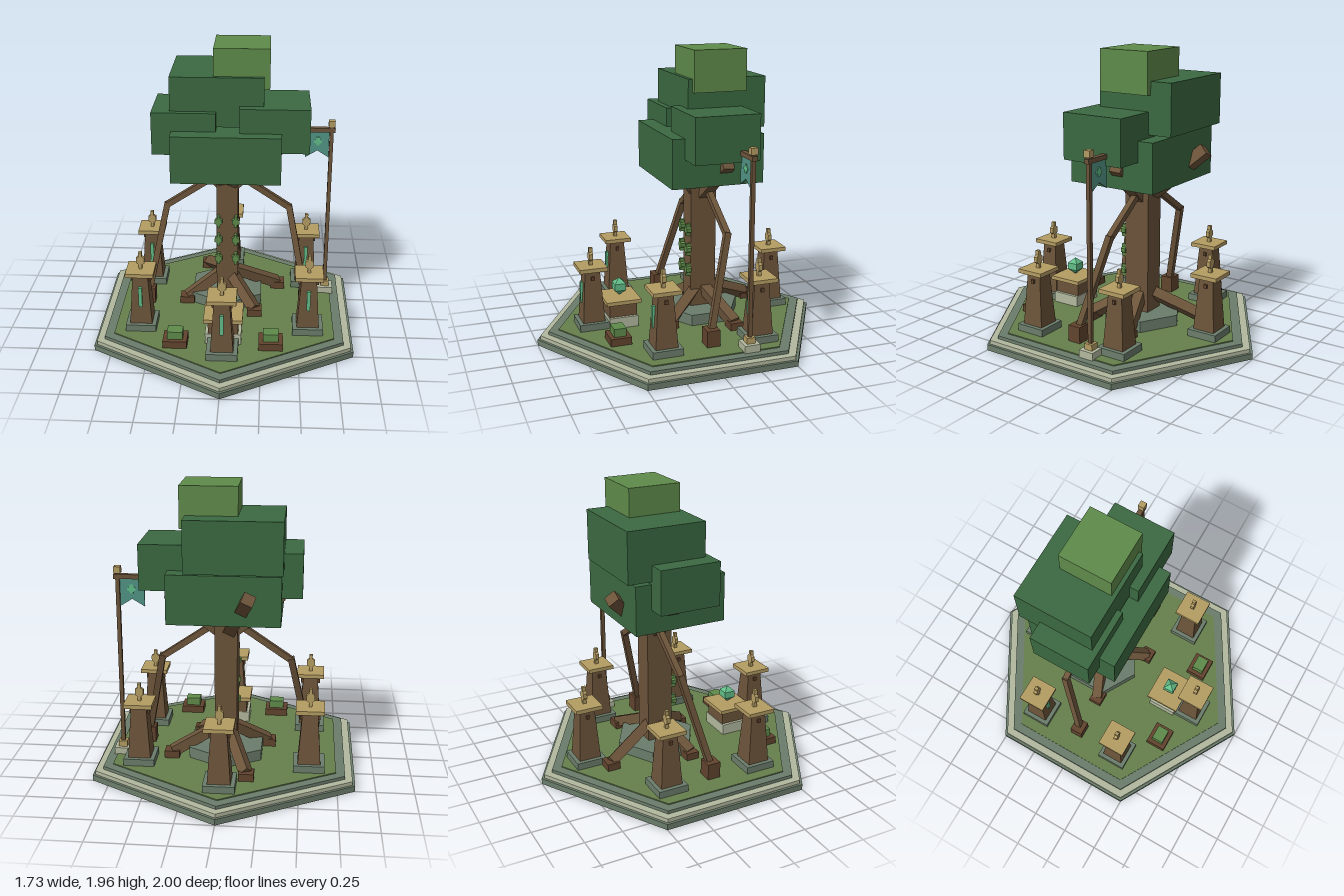
import * as THREE from 'three';

const mat = (name, color) => {
  const m = new THREE.MeshStandardMaterial({ color });
  m.name = name;
  return m;
};

export function createModel() {
  const root = new THREE.Group();
  root.name = 'treeShrine';

  const stone = mat('stone', 0x6b7d6b);
  const paleStone = mat('paleStone', 0xb3b99f);
  const grass = mat('grass', 0x667f4c);
  const bark = mat('bark', 0x6c543a);
  const darkWood = mat('darkWood', 0x62442e);
  const gold = mat('gold', 0xb59d63);
  const leaf = mat('leaf', 0x3b6941);
  const lightLeaf = mat('lightLeaf', 0x5f8b4a);
  const cloth = mat('cloth', 0x529585);
  const glow = mat('glow', 0x62be88);

  // Faceted mesh
  const add = (parent, name, geo, material, x = 0, y = 0, z = 0) => {
    const g = geo.index ? geo.toNonIndexed() : geo;
    g.computeVertexNormals();
    const m = new THREE.Mesh(g, material);
    m.name = name;
    m.position.set(x, y, z);
    parent.add(m);
    return m;
  };
  // Box centred on x and z, spanning y0 to y1
  const box = (parent, name, material, x, y0, y1, z, w, d) =>
    add(parent, name, new THREE.BoxGeometry(w, y1 - y0, d), material, x, (y0 + y1) / 2, z);
  // Square beam between two points
  const beam = (parent, name, material, a, b, w, d = w) => {
    const p = new THREE.Vector3(...a), q = new THREE.Vector3(...b);
    const dir = q.clone().sub(p);
    const mid = p.clone().add(q).multiplyScalar(0.5);
    const m = add(parent, name, new THREE.BoxGeometry(w, dir.length(), d), material, mid.x, mid.y, mid.z);
    // local z stays as close as possible to the world z axis
    const up = dir.normalize();
    const side = new THREE.Vector3().crossVectors(up, new THREE.Vector3(0, 0, 1)).normalize();
    const front = new THREE.Vector3().crossVectors(side, up);
    m.quaternion.setFromRotationMatrix(new THREE.Matrix4().makeBasis(side, up, front));
    return m;
  };
  // Extruded outline, centred on z
  const plate = (points, depth) => {
    const s = new THREE.Shape(points.map(([x, y]) => new THREE.Vector2(x, y)));
    return new THREE.ExtrudeGeometry(s, { depth, bevelEnabled: false }).translate(0, 0, -depth / 2);
  };
  // Notched leaf outline, w wide and h high
  const leafShape = (w, h, depth) => {
    const half = [[0.2, -0.5], [0.2, -0.25], [0.5, -0.15], [0.5, 0.15], [0.2, 0.25], [0.2, 0.5]];
    const pts = [...half, ...half.map(([x, y]) => [-x, y]).reverse()];
    return plate(pts.map(([x, y]) => [x * w, y * h]), depth);
  };

  // Stepped hexagonal base
  const base = new THREE.Group();
  base.name = 'base';
  root.add(base);
  [['lowerStep', 1, 0, 0.04, stone], ['paleStep', 0.98, 0.04, 0.066, paleStone],
    ['upperStep', 0.924, 0.066, 0.088, stone], ['lawn', 0.855, 0.088, 0.095, grass]]
    .forEach(([name, r, y0, y1, m]) =>
      add(base, name, new THREE.CylinderGeometry(r, r, y1 - y0, 6), m, 0, (y0 + y1) / 2, 0));

  // Trunk, plinth and branches
  const tree = new THREE.Group();
  tree.name = 'tree';
  root.add(tree);
  const tz = -0.15;
  add(tree, 'plinth', new THREE.CylinderGeometry(0.28, 0.28, 0.08, 6), stone, 0, 0.13, tz);
  box(tree, 'trunk', bark, 0, 0.1, 1.15, tz, 0.15, 0.18);
  [[0.38, 1.24, -0.2], [-0.36, 1.24, -0.2], [-0.165, 1.29, -0.53], [0.12, 1.22, 0.08], [-0.1, 1.22, 0.06]]
    .forEach(p => beam(tree, 'branch', bark, [0, 0.93, tz], p, 0.08));

  // Ground roots with feet
  [[0.2, 0.13], [-0.16, -0.56], [-0.28, -0.03], [0.36, -0.27]].forEach(([x, z]) => {
    beam(tree, 'groundRoot', bark, [0, 0.31, tz], [x, 0.13, z], 0.07);
    box(tree, 'rootFoot', darkWood, x, 0.09, 0.145, z, 0.1, 0.09);
  });

  // Arching side roots
  for (const s of [-1, 1]) {
    const knee = [s * 0.43, 0.78, -0.18];
    beam(tree, 'archRootUpper', bark, [s * 0.03, 1.05, -0.17], knee, 0.04);
    beam(tree, 'archRootLower', bark, [s * 0.427, 0.795, -0.183], [s * 0.555, 0.17, -0.025], 0.042);
    box(tree, 'archRootFoot', darkWood, s * 0.56, 0.09, 0.205, -0.025, 0.1, 0.09);
  }

  // Leaves climbing the trunk
  for (const s of [-1, 1])
    for (const y of [0.72, 0.58, 0.435])
      add(tree, 'climbingLeaf', leafShape(0.052, 0.085, 0.035), lightLeaf, s * 0.06, y, -0.045);

  // Canopy blocks: x range, y range, z range
  [[-0.365, 0.362, 1.09, 1.415, -0.456, 0.17, leaf],
    [-0.495, -0.07, 1.25, 1.54, -0.35, 0.062, leaf],
    [0.085, 0.547, 1.28, 1.58, -0.348, 0.085, leaf],
    [-0.375, 0.243, 1.435, 1.77, -0.51, 0.022, leaf],
    [-0.088, 0.28, 1.685, 1.955, -0.362, -0.005, lightLeaf]]
    .forEach(([x0, x1, y0, y1, z0, z1, m]) =>
      box(tree, 'canopyBlock', m, (x0 + x1) / 2, y0, y1, (z0 + z1) / 2, x1 - x0, z1 - z0));

  // Ring of six pillars
  for (let i = 0; i < 6; i++) {
    const a = i * Math.PI / 3;
    const p = new THREE.Group();
    p.name = 'pillar';
    p.position.set(0.65 * Math.sin(a), 0, -0.025 + 0.65 * Math.cos(a));
    root.add(p);
    box(p, 'pillarBase', stone, 0, 0.09, 0.142, 0, 0.205, 0.205);
    add(p, 'pillarBody', new THREE.CylinderGeometry(0.05 * Math.SQRT2, 0.075 * Math.SQRT2, 0.362, 4)
      .rotateY(Math.PI / 4), bark, 0, 0.321, 0);
    box(p, 'pillarPeg', darkWood, 0, 0.435, 0.46, 0, 0.135, 0.022);
    box(p, 'pillarCap', gold, 0, 0.5, 0.527, 0, 0.188, 0.188);
    add(p, 'finial', leafShape(0.055, 0.12, 0.025), gold, 0, 0.587, 0);
    box(p, 'glowStrip', glow, 0, 0.27, 0.412, 0.066, 0.024, 0.02);
  }

  // Altar with crystal
  const altar = new THREE.Group();
  altar.name = 'altar';
  altar.position.z = 0.43;
  root.add(altar);
  box(altar, 'altarBase', paleStone, 0, 0.09, 0.17, 0, 0.24, 0.2);
  box(altar, 'altarBody', bark, 0, 0.17, 0.262, 0, 0.2, 0.19);
  box(altar, 'altarTop', gold, 0, 0.262, 0.288, 0, 0.258, 0.24);
  const profile = [[0, 0.29], [0.055, 0.33], [0.055, 0.377], [0, 0.413]];
  add(altar, 'crystal', new THREE.LatheGeometry(profile.map(p => new THREE.Vector2(...p)), 4)
    .rotateY(Math.PI / 4), glow);

  // Planters
  for (const s of [-1, 1]) {
    box(root, 'planter', darkWood, s * 0.315, 0.09, 0.145, 0.527, 0.16, 0.14);
    box(root, 'planterShrub', lightLeaf, s * 0.315, 0.145, 0.2, 0.527, 0.102, 0.082);
  }

  // Banner pole
  const banner = new THREE.Group();
  banner.name = 'banner';
  banner.position.set(0.705, 0, -0.23);
  root.add(banner);
  box(banner, 'poleBase', paleStone, 0, 0.09, 0.14, 0, 0.11, 0.105);
  box(banner, 'poleCollar', gold, 0, 0.14, 0.18, 0, 0.058, 0.058);
  box(banner, 'pole', bark, 0, 0.18, 1.365, 0, 0.026, 0.026);
  box(banner, 'crossbar', bark, -0.08, 1.325, 1.355, 0, 0.21, 0.035);
  box(banner, 'poleCap', gold, 0, 1.363, 1.407, 0, 0.044, 0.044);
  add(banner, 'pennant', plate([[-0.175, 1.33], [-0.175, 1.14], [-0.093, 1.19], [-0.015, 1.14], [-0.015, 1.33]], 0.012), cloth);
  add(banner, 'pennantEmblem', leafShape(0.055, 0.06, 0.022), glow, -0.09, 1.257, 0);

  return root;
}
